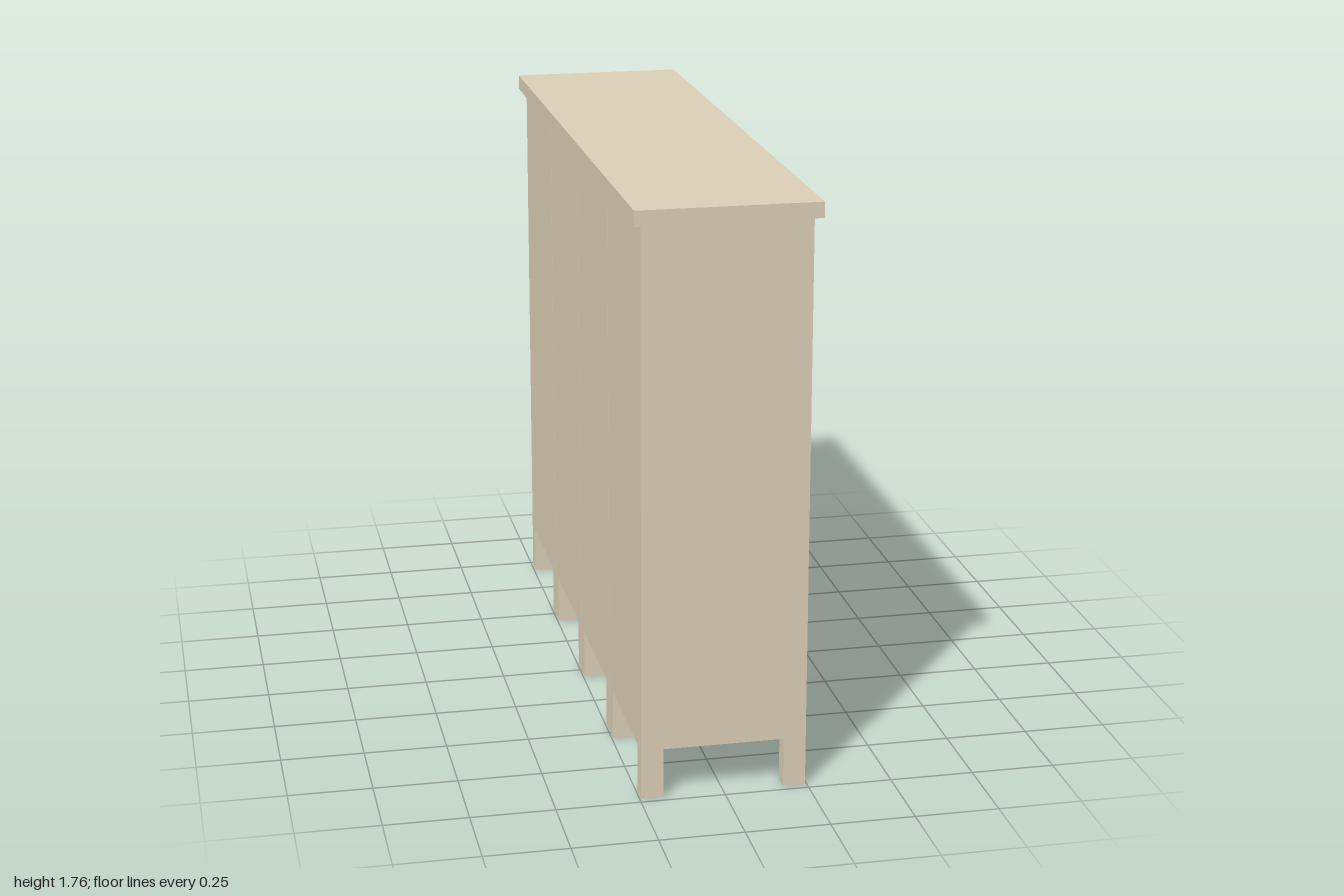
import * as THREE from 'three';

const TAN = new THREE.MeshStandardMaterial({ color: 0xdccfb5 });
const DARK = new THREE.MeshStandardMaterial({ color: 0x4b4f5a });
const STEEL = new THREE.MeshStandardMaterial({ color: 0x9c9ea4 });

const PITCH = 0.489, W = 0.486, DEPTH = 0.49; // units stand a hair apart
const BOTTOM = 0.15, TOP = 1.71, FRONT = DEPTH / 2;
const CORE_FRONT = 0.205, DOOR_FRONT = 0.235;

function add(parent, name, geometry, material, x = 0, y = 0, z = 0) {
  const mesh = new THREE.Mesh(geometry, material);
  mesh.name = name;
  mesh.position.set(x, y, z);
  parent.add(mesh);
}

// Rounded rectangle drawn onto a Shape or Path
function roundedRect(path, cx, cy, w, h, r) {
  const x0 = cx - w / 2, x1 = cx + w / 2, y0 = cy - h / 2, y1 = cy + h / 2;
  path.moveTo(x0 + r, y0).lineTo(x1 - r, y0);
  path.quadraticCurveTo(x1, y0, x1, y0 + r).lineTo(x1, y1 - r);
  path.quadraticCurveTo(x1, y1, x1 - r, y1).lineTo(x0 + r, y1);
  path.quadraticCurveTo(x0, y1, x0, y1 - r).lineTo(x0, y0 + r);
  path.quadraticCurveTo(x0, y0, x0 + r, y0);
  return path;
}

function rect(path, w, y0, y1) {
  path.moveTo(-w / 2, y0).lineTo(w / 2, y0);
  path.lineTo(w / 2, y1).lineTo(-w / 2, y1).lineTo(-w / 2, y0);
  return path;
}

const extrude = (shape, depth) =>
  new THREE.ExtrudeGeometry(shape, { depth, bevelEnabled: false, curveSegments: 5 });

// Pressed vent hood: slopes out towards its lower lip, fading at both ends
function louverGeometry() {
  const w = 0.228, h = 0.026;
  const geo = new THREE.BoxGeometry(w, h, 0.02, 20, 3, 1);
  const p = geo.attributes.position;
  for (let i = 0; i < p.count; i++) {
    const edge = THREE.MathUtils.clamp((w / 2 - Math.abs(p.getX(i))) / 0.023, 0, 1);
    const out = Math.sqrt(edge * (2 - edge));
    const slope = 0.5 - p.getY(i) / h;
    p.setZ(i, p.getZ(i) > 0 ? 0.002 + 0.017 * out * slope : -0.002);
  }
  geo.computeVertexNormals();
  return geo;
}

function createPadlock() {
  const lock = new THREE.Group();
  lock.name = 'padlock';
  const disc = (name, r, depth, z, mat) => {
    const g = new THREE.CylinderGeometry(r, r, depth, 24).rotateX(Math.PI / 2);
    add(lock, name, g, mat, 0, 0, z);
  };
  disc('lockBody', 0.026, 0.036, 0.018, DARK);
  disc('lockDial', 0.018, 0.004, 0.038, STEEL);
  disc('lockKnob', 0.007, 0.006, 0.042, DARK);
  add(lock, 'shackle', new THREE.TorusGeometry(0.016, 0.005, 8, 16, Math.PI), STEEL, 0, 0.03, 0.018);
  for (const s of [-1, 1]) {
    add(lock, 'shackleLeg', new THREE.CylinderGeometry(0.005, 0.005, 0.02, 8), STEEL, s * 0.016, 0.022, 0.018);
  }
  // Staple the shackle hangs from
  add(lock, 'staple', new THREE.BoxGeometry(0.012, 0.014, 0.03), DARK, 0, 0.043, 0.015);
  return lock;
}

// One locker, modelled facing +z
function createLocker() {
  const locker = new THREE.Group();
  locker.name = 'locker';
  const coreDepth = CORE_FRONT + DEPTH / 2;
  add(locker, 'cabinet', new THREE.BoxGeometry(W, TOP - BOTTOM, coreDepth), TAN,
    0, (TOP + BOTTOM) / 2, CORE_FRONT - coreDepth / 2);

  // Frame around the inset door
  const frame = rect(new THREE.Shape(), W, BOTTOM, TOP);
  frame.holes.push(rect(new THREE.Path(), W - 0.044, BOTTOM + 0.022, TOP - 0.022));
  add(locker, 'doorFrame', extrude(frame, FRONT - CORE_FRONT), TAN, 0, 0, CORE_FRONT);

  // Door with a pocket for the lock
  const door = rect(new THREE.Shape(), W - 0.046, BOTTOM + 0.023, TOP - 0.023);
  door.holes.push(roundedRect(new THREE.Path(), 0.17, 0.832, 0.078, 0.14, 0.01));
  add(locker, 'door', extrude(door, DOOR_FRONT - CORE_FRONT), TAN, 0, 0, CORE_FRONT);

  const louver = louverGeometry();
  for (const y of [1.593, 1.543, 1.493]) add(locker, 'ventLouver', louver, TAN, 0, y, DOOR_FRONT);

  const lock = createPadlock();
  lock.position.set(0.17, 0.825, CORE_FRONT);
  locker.add(lock);

  // Corner legs
  const lw = 0.052, ld = 0.066;
  for (const sx of [-1, 1]) for (const sz of [-1, 1]) {
    add(locker, 'leg', new THREE.BoxGeometry(lw, BOTTOM, ld), TAN,
      sx * (W - lw) / 2, BOTTOM / 2, sz * (DEPTH - ld) / 2);
  }
  return locker;
}

export function createModel() {
  const model = new THREE.Group();
  model.name = 'lockerRow';
  for (let i = 0; i < 4; i++) {
    const locker = createLocker();
    locker.rotation.y = Math.PI / 2; // doors face +x
    locker.position.z = (1.5 - i) * PITCH;
    model.add(locker);
  }
  add(model, 'topBoard', new THREE.BoxGeometry(0.534, 0.046, 2), TAN, 0, TOP + 0.023, 0);
  return model;
}
